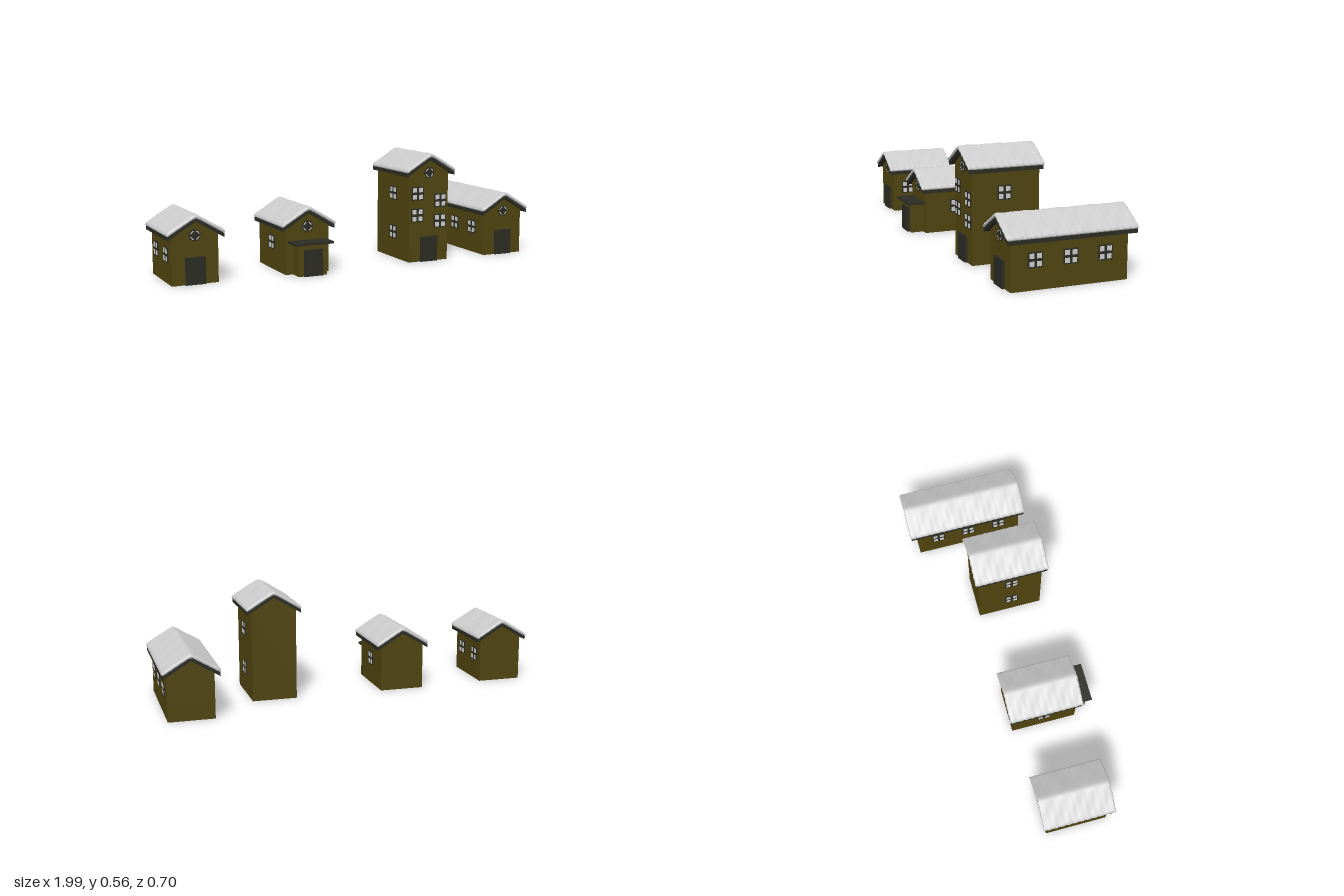
import * as THREE from 'three';

const mat = (color) => new THREE.MeshStandardMaterial({ color });
const wallMat = mat(0x504410), trimMat = mat(0x2c2c24), paleMat = mat(0xcccccc);
const FRONT = 0.262, HALF = 0.114, SLOPE = 0.6;

function add(parent, name, geometry, material, x = 0, y = 0, z = 0) {
  const mesh = new THREE.Mesh(geometry, material);
  mesh.name = name;
  mesh.position.set(x, y, z);
  parent.add(mesh);
  return mesh;
}

const box = (w, h, d) => new THREE.BoxGeometry(w, h, d);
const shapeOf = (pts) => new THREE.Shape(pts.map(([x, y]) => new THREE.Vector2(x, y)));
const extrude = (shape, depth) =>
  new THREE.ExtrudeGeometry(shape, { depth, bevelEnabled: false, curveSegments: 12 });

// Square window: frame with four panes, facing +z
function squareWindow() {
  const g = new THREE.Group();
  g.name = 'window';
  add(g, 'windowFrame', box(0.07, 0.07, 0.01), trimMat);
  for (const x of [-1, 1]) for (const y of [-1, 1])
    add(g, 'windowPane', box(0.023, 0.023, 0.002), paleMat, x * 0.018, y * 0.018, 0.005);
  return g;
}

// Round gable window with four quarter panes
function roundWindow() {
  const g = new THREE.Group();
  g.name = 'gableWindow';
  add(g, 'gableWindowFrame', new THREE.CylinderGeometry(0.028, 0.028, 0.01, 24).rotateX(Math.PI / 2), trimMat);
  for (let i = 0; i < 4; i++) {
    const quarter = new THREE.Shape();
    quarter.moveTo(0, 0);
    quarter.absarc(0, 0, 0.018, 0, Math.PI / 2);
    const pane = add(g, 'gableWindowPane', extrude(quarter, 0.002), paleMat, 0, 0, 0.004);
    const a = i * Math.PI / 2 + Math.PI / 4;
    pane.rotation.z = i * Math.PI / 2;
    pane.position.x = Math.cos(a) * 0.005;
    pane.position.y = Math.sin(a) * 0.005;
  }
  return g;
}

// Distances along an axis, bunched at both ends to round the edges
function stations(length, inner) {
  const edge = [0, 0.0008, 0.003, 0.006, 0.01];
  const out = [...edge];
  for (let i = 1; i < inner; i++) out.push(0.01 + (length - 0.02) * i / inner);
  return [...out, ...edge.map((d) => length - d).reverse()];
}

// One skin (upper or lower) of the soft, slightly lumpy snow blanket
function snowSkin(apex, z0, z1, side, seed) {
  const width = 0.28, length = z1 - z0;
  const us = stations(width, 24), ws = stations(length, Math.round(length * 110));
  const geo = new THREE.PlaneGeometry(1, 1, us.length - 1, ws.length - 1).rotateX(-Math.PI / 2);
  const pos = geo.attributes.position;
  const round = (d) => {
    const t = Math.max(0, 1 - d / 0.01);
    return Math.sqrt(Math.max(0, 1 - t * t));
  };
  for (let i = 0; i < pos.count; i++) {
    const u = us[i % us.length], w = ws[Math.floor(i / us.length)];
    const fade = round(Math.min(u, width - u)) * round(Math.min(w, length - w));
    const x = u - width / 2, z = z0 + w;
    const ridge = apex - SLOPE * Math.sqrt(x * x + 0.00006);
    const lump = side > 0 ? 0.0009 * (Math.sin(z * 41 + x * 23 + seed) + Math.sin(z * 83 - x * 57 + seed * 2)) : 0;
    pos.setXYZ(i,
      x + Math.sign(x) * Math.min(1, Math.abs(x) / 0.1) * 0.0012 * Math.sin(z * 190 + seed),
      ridge + fade * (side * 0.01 + lump),
      z + (w / length - 0.5) * 0.003 * Math.sin(x * 210 + seed));
  }
  if (side < 0) {
    const idx = geo.index;
    for (let i = 0; i < idx.count; i += 3) {
      const a = idx.getX(i);
      idx.setX(i, idx.getX(i + 1));
      idx.setX(i + 1, a);
    }
  }
  geo.computeVertexNormals();
  return geo;
}

function house({ x, back, roofBack, lift = 0, sideWindows, frontWindows = [], porch = false, recess = null }) {
  const g = new THREE.Group();
  g.name = 'house';
  g.position.x = x;
  const length = FRONT - back, eave = 0.234 + lift, apex = 0.303 + lift;
  const baseHeight = recess ? 0.1 : 0;

  // Gabled walls
  const walls = shapeOf([[-HALF, baseHeight], [HALF, baseHeight], [HALF, eave], [0, apex], [-HALF, eave]]);
  add(g, 'walls', extrude(walls, length), wallMat, 0, 0, back);

  // Lower walls with an opening underneath
  if (recess) {
    const base = shapeOf([[-HALF, -FRONT], [HALF, -FRONT], [HALF, -back], [-HALF, -back]]);
    const [a, b] = recess;
    base.holes.push(new THREE.Path([[-0.075, -b], [-0.075, -a], [0.075, -a], [0.075, -b]]
      .map(([px, py]) => new THREE.Vector2(px, py))));
    add(g, 'lowerWalls', extrude(base, baseHeight).rotateX(-Math.PI / 2), wallMat);
  }

  // Roof boards and snow
  const y0 = 0.300 + lift, w = 0.137, t = 0.018, drop = SLOPE * w;
  const boards = shapeOf([[-w, y0 - drop], [0, y0], [w, y0 - drop], [w, y0 - drop + t], [0, y0 + t], [-w, y0 - drop + t]]);
  add(g, 'roofBoards', extrude(boards, 0.286 - roofBack), trimMat, 0, 0, roofBack);
  for (const side of [1, -1])
    add(g, side > 0 ? 'snowTop' : 'snowUnderside',
      snowSkin(0.327 + lift, roofBack - 0.005, 0.291, side, x * 9), paleMat);

  // Porch and door
  let doorZ = FRONT;
  if (porch) {
    doorZ = 0.331;
    add(g, 'porchWalls', box(0.15, 0.155, 0.073), wallMat, 0, 0.0775, 0.2945);
    add(g, 'porchRoof', box(0.202, 0.011, 0.095), trimMat, 0, 0.16, 0.3055);
  }
  add(g, 'door', box(0.097, 0.13, 0.016), trimMat, 0, 0.065, doorZ + 0.004);

  // Windows
  const gable = roundWindow();
  gable.position.set(0, 0.233 + lift, FRONT);
  g.add(gable);
  for (const [wx, wy] of frontWindows) {
    const win = squareWindow();
    win.position.set(wx, wy, FRONT);
    g.add(win);
  }
  for (const [wz, wy] of sideWindows) for (const s of [1, -1]) {
    const win = squareWindow();
    win.position.set(s * HALF, wy, wz);
    win.rotation.y = s * Math.PI / 2;
    g.add(win);
  }
  return g;
}

export function createModel() {
  const model = new THREE.Group();
  model.name = 'snowyVillage';
  const low = 0.138;
  const houses = [
    { name: 'smallHouse', x: -0.857, back: -0.055, roofBack: -0.075, sideWindows: [[0.18, low], [0.02, low]] },
    { name: 'porchHouse', x: -0.287, back: -0.08, roofBack: -0.092, sideWindows: [[0.09, low]], porch: true },
    {
      name: 'towerHouse', x: 0.396, back: -0.08, roofBack: -0.092, lift: 0.227,
      sideWindows: [[0.1, low], [0.1, 0.343]],
      frontWindows: [[-0.067, 0.355], [-0.067, 0.243], [0.067, 0.313], [0.067, 0.207]],
      recess: [-0.05, 0.17],
    },
    {
      name: 'longHouse', x: 0.853, back: -0.308, roofBack: -0.345,
      sideWindows: [[0.147, low], [-0.024, low], [-0.195, low]], recess: [-0.28, -0.06],
    },
  ];
  for (const spec of houses) {
    const h = house(spec);
    h.name = spec.name;
    model.add(h);
  }
  return model;
}
